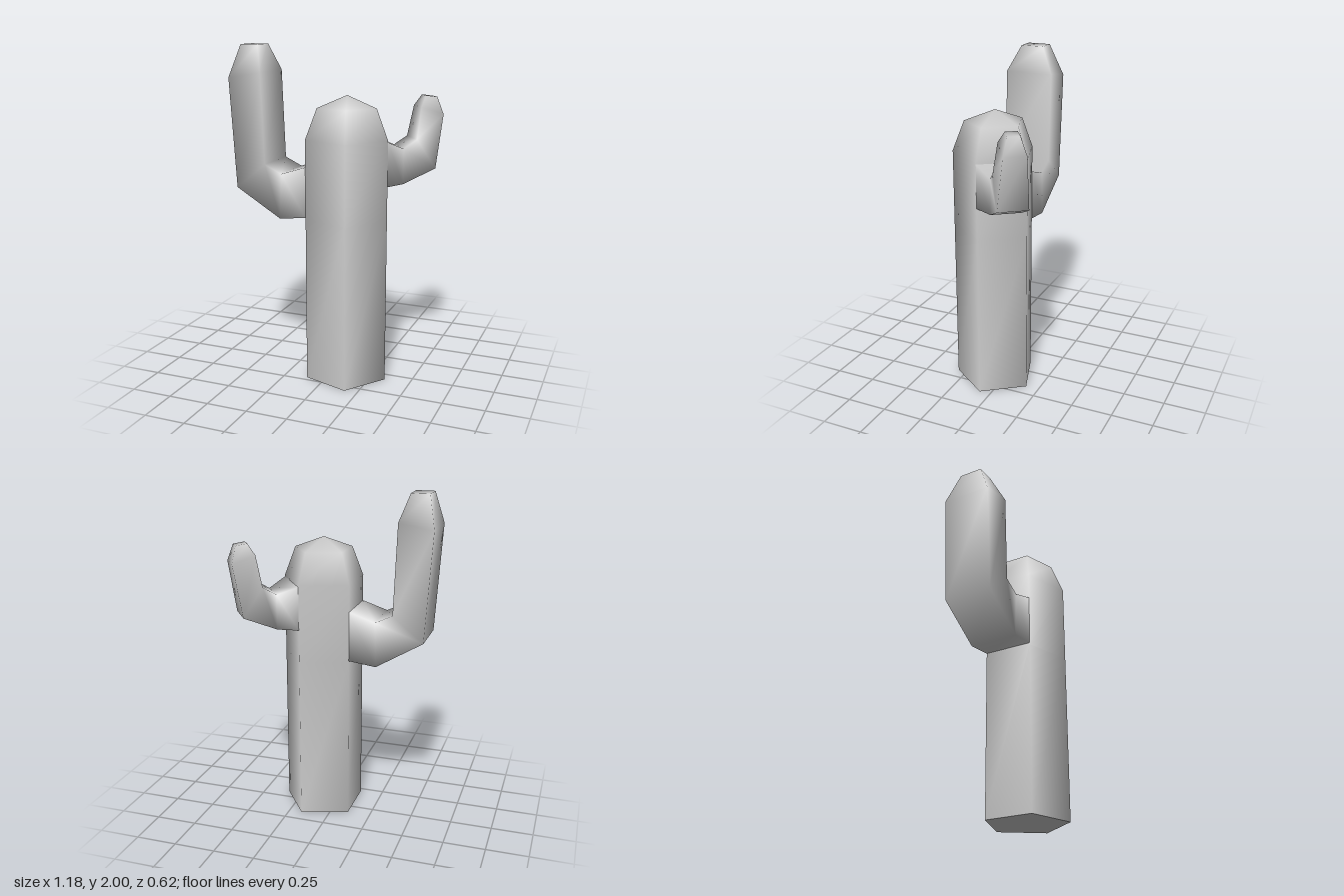
import * as THREE from 'three';

const RADIUS = 0.25;
const CENTRE = { x: 0.093, z: 0.07 };
const APOTHEM = RADIUS * Math.cos(Math.PI / 5);

// Smooth skin through rings of points, closed by a fan at the last ring
function loft(rings, tip) {
  const n = rings[0].length;
  const points = rings.flat();
  const index = [];
  for (let i = 0; i < rings.length - 1; i++) {
    for (let j = 0; j < n; j++) {
      const a = i * n + j, b = i * n + (j + 1) % n;
      index.push(a, b, b + n, a, b + n, a + n);
    }
  }
  const last = (rings.length - 1) * n;
  if (tip) {
    points.push(tip);
    for (let j = 0; j < n; j++) index.push(last + j, last + (j + 1) % n, points.length - 1);
  } else {
    for (let j = 1; j < n - 1; j++) index.push(last, last + j, last + j + 1);
  }
  const geometry = new THREE.BufferGeometry().setFromPoints(points);
  geometry.setIndex(index);
  geometry.computeVertexNormals();
  return geometry;
}

// Five-sided trunk ring
function trunkRing(y, radius) {
  return Array.from({ length: 5 }, (_, k) => {
    const a = k * Math.PI * 2 / 5;
    return new THREE.Vector3(CENTRE.x + radius * Math.cos(a), y, CENTRE.z - radius * Math.sin(a));
  });
}

// Four-sided arm growing out of one trunk face.
// Each station: outer distance, outer y, inner distance, inner y, half width
function armGeometry(angle, stations) {
  const d = new THREE.Vector3(Math.cos(angle), 0, -Math.sin(angle));
  const side = new THREE.Vector3(d.z, 0, -d.x);
  const corner = (dist, y, s) => new THREE.Vector3(CENTRE.x, y, CENTRE.z)
    .addScaledVector(d, APOTHEM + dist)
    .addScaledVector(side, s);
  return loft(stations.map(([od, oy, id, iy, h]) => [
    corner(od, oy, h), corner(id, iy, h), corner(id, iy, -h), corner(od, oy, -h),
  ]));
}

export function createModel() {
  const group = new THREE.Group();
  const skin = new THREE.MeshStandardMaterial({ color: 0xcccccc });
  skin.name = 'plain grey';

  const add = (name, geometry) => {
    const mesh = new THREE.Mesh(geometry, skin);
    mesh.name = name;
    group.add(mesh);
  };

  // Trunk with domed top
  add('trunk', loft(
    [trunkRing(0, RADIUS), trunkRing(1, RADIUS), trunkRing(1.47, RADIUS), trunkRing(1.65, 0.18)],
    new THREE.Vector3(CENTRE.x, 1.72, CENTRE.z),
  ));

  // Flat underside, reversed so it faces down
  add('trunkBase', loft([trunkRing(0, RADIUS).reverse()]));

  // Tall arm on the model's right
  add('tallArm', armGeometry(Math.PI, [
    [0, 1.01, 0, 1.31, 0.147],
    [0.165, 0.99, 0.155, 1.26, 0.147],
    [0.445, 1.16, 0.26, 1.31, 0.147],
    [0.485, 1.81, 0.28, 1.845, 0.147],
    [0.44, 2, 0.33, 2, 0.07],
  ]));

  // Short arm on the model's left, towards the back
  add('shortArm', armGeometry(Math.PI / 5, [
    [0, 1.2, 0, 1.46, 0.147],
    [0.114, 1.2, 0.114, 1.41, 0.088],
    [0.314, 1.285, 0.195, 1.46, 0.088],
    [0.365, 1.6, 0.227, 1.645, 0.065],
    [0.335, 1.7, 0.265, 1.71, 0.035],
  ]));

  return group;
}
